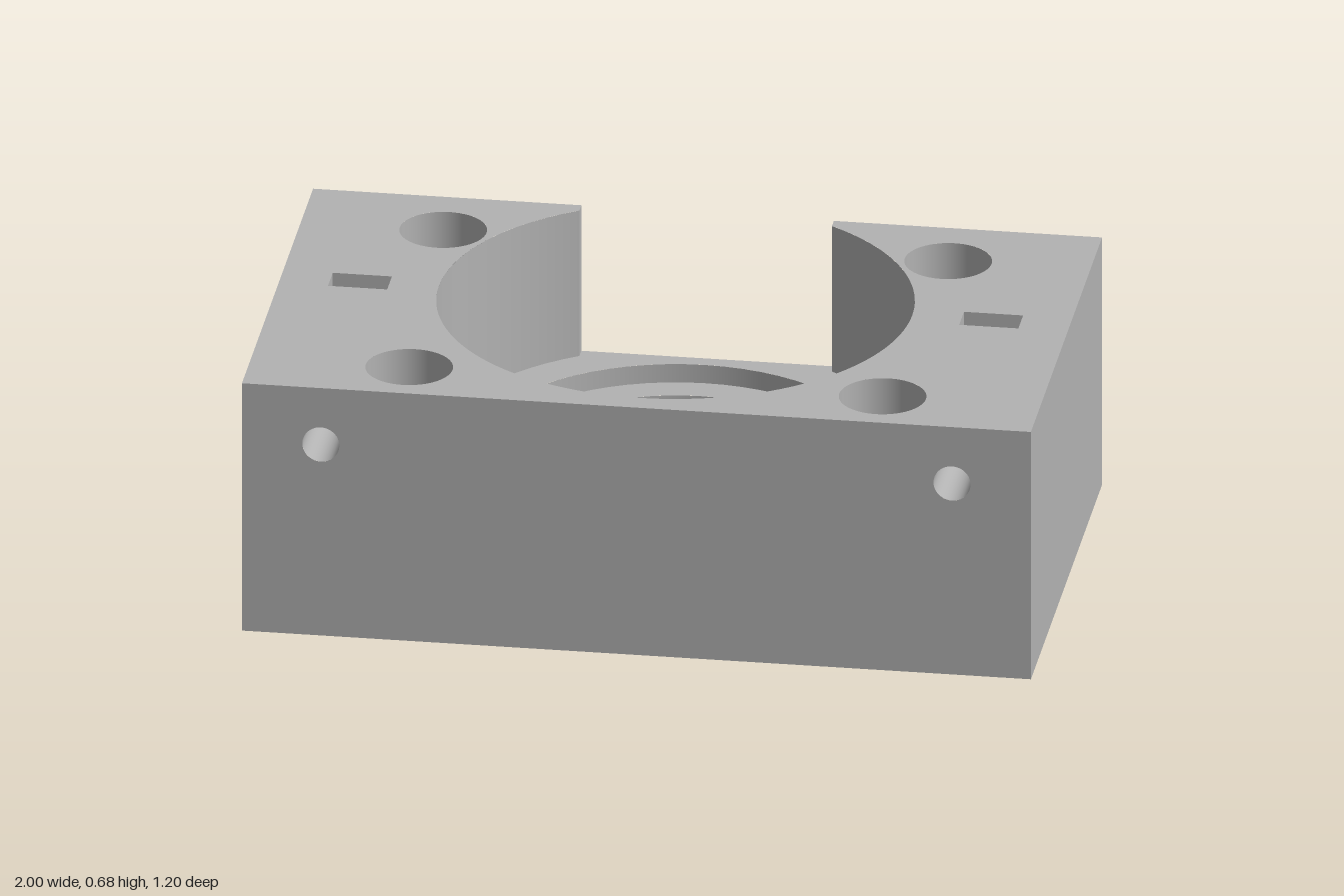
import * as THREE from 'three';

const W = 1, D = 0.6, H = 0.68;          // half width, half depth, height
const CZ = -0.06;                        // bore centre in z
const FLOOR = 0.28, STEP = 0.23, SEAT = 0.13; // stepped bore levels
const LIP = 0.32, R = 0.6;               // rear opening half width, pocket radius
const ARC = Math.acos(LIP / R);
const LIPZ = CZ - R * Math.sin(ARC);
const SEG = 64;

// Turn a surface to face the other way
function flip(geo) {
  const idx = geo.index.array, n = geo.attributes.normal.array;
  for (let i = 0; i < idx.length; i += 3) [idx[i], idx[i + 1]] = [idx[i + 1], idx[i]];
  for (let i = 0; i < n.length; i++) n[i] = -n[i];
  return geo;
}

const disc = (x, y, r, C = THREE.Path) => {
  const p = new C();
  p.absarc(x, y, r, 0, Math.PI * 2, false);
  return p;
};
const poly = (pts, C = THREE.Path) => new C(pts.map(([x, y]) => new THREE.Vector2(x, y)));
const rect = (x0, y0, x1, y1, C) => poly([[x0, y0], [x1, y0], [x1, y1], [x0, y1]], C);
const hex = (x, z, r, C) => poly([...Array(6).keys()].map((i) => {
  const a = Math.PI / 2 + i * Math.PI / 3;
  return [x + r * Math.cos(a), z + r * Math.sin(a)];
}), C);

export function createModel() {
  const group = new THREE.Group();
  const grey = new THREE.MeshStandardMaterial({ color: 0xb2b2b2 });
  grey.name = 'grey';

  const add = (name, geo) => {
    const m = new THREE.Mesh(geo, grey);
    m.name = name;
    group.add(m);
  };
  // Horizontal face from a shape drawn in (x, z)
  const level = (name, shape, holes, y, up = true) => {
    shape.holes.push(...holes);
    const g = new THREE.ShapeGeometry(shape, SEG).rotateX(Math.PI / 2).translate(0, y, 0);
    add(name, up ? flip(g) : g);
  };
  // Upright face from a shape drawn in (x, y)
  const upright = (name, shape, holes, z, back) => {
    shape.holes.push(...holes);
    const g = new THREE.ShapeGeometry(shape, SEG).translate(0, 0, z);
    add(name, back ? flip(g) : g);
  };
  // Inner wall of a vertical round hole
  const bore = (name, x, z, r, y0, y1, start = 0, len = Math.PI * 2) => add(name, flip(
    new THREE.CylinderGeometry(r, r, y1 - y0, SEG, 1, true, start, len).translate(x, (y0 + y1) / 2, z)));
  // Upright face across x, facing +x or -x
  const side = (name, x, y0, y1, z0, z1, dir) => add(name,
    new THREE.PlaneGeometry(z1 - z0, y1 - y0).rotateY(dir * Math.PI / 2)
      .translate(x, (y0 + y1) / 2, (z0 + z1) / 2));

  const bolts = [[0.64, -0.4], [-0.64, -0.4], [0.6, 0.44], [-0.6, 0.44]];
  const screws = [[0.35, CZ], [-0.35, CZ], [0, CZ + 0.35], [0, CZ - 0.35]];
  const SLOT = { x0: 0.725, x1: 0.875, z0: -0.1, z1: -0.02 };
  const slots = () => [rect(SLOT.x0, SLOT.z0, SLOT.x1, SLOT.z1), rect(-SLOT.x1, SLOT.z0, -SLOT.x0, SLOT.z1)];
  const PX = 0.8, PY = 0.525, PR = 0.047; // long cross holes
  const crossHoles = () => [disc(PX, PY, PR), disc(-PX, PY, PR)];

  // Top face, open at the rear where the pocket breaks through
  const top = new THREE.Shape();
  top.moveTo(W, -D).lineTo(W, D).lineTo(-W, D).lineTo(-W, -D).lineTo(-LIP, -D).lineTo(-LIP, LIPZ);
  top.absarc(0, CZ, R, Math.PI + ARC, -ARC, true);
  top.lineTo(LIP, -D);
  level('topFace', top, [...bolts.map(([x, z]) => disc(x, z, 0.11)), ...slots()], H);

  // Underside
  level('underside', rect(-W, -D, W, D, THREE.Shape), [
    disc(0, CZ, 0.27), ...screws.map(([x, z]) => disc(x, z, 0.045)),
    ...bolts.map(([x, z]) => hex(x, z, 0.088)), ...slots()], 0, false);

  // Outer walls
  upright('frontFace', rect(-W, 0, W, H, THREE.Shape), crossHoles(), D, false);
  upright('backFace', poly([[-W, 0], [W, 0], [W, H], [LIP, H], [LIP, FLOOR],
    [-LIP, FLOOR], [-LIP, H], [-W, H]], THREE.Shape), crossHoles(), -D, true);
  for (const s of [1, -1]) {
    side('endFace', s * W, 0, H, -D, D, s);
    side('openingLip', s * LIP, FLOOR, H, -D, LIPZ, -s);
  }

  // Stepped round pocket
  const sweep = Math.PI / 2 + ARC;
  bore('pocketWall', 0, CZ, R, FLOOR, H, -sweep, sweep * 2);
  const floor = new THREE.Shape();
  floor.moveTo(-LIP, -D).lineTo(LIP, -D).lineTo(LIP, LIPZ);
  floor.absarc(0, CZ, R, -ARC, Math.PI + ARC, false);
  level('pocketFloor', floor, [disc(0, CZ, 0.5)], FLOOR);
  bore('stepWall', 0, CZ, 0.5, STEP, FLOOR);
  level('stepFloor', disc(0, CZ, 0.5, THREE.Shape), [disc(0, CZ, 0.42)], STEP);
  bore('seatWall', 0, CZ, 0.42, SEAT, STEP);
  level('seatFloor', disc(0, CZ, 0.42, THREE.Shape),
    [disc(0, CZ, 0.27), ...screws.map(([x, z]) => disc(x, z, 0.068))], SEAT);
  bore('centreHole', 0, CZ, 0.27, 0, SEAT);

  // Counterbored screw holes around the centre
  for (const [x, z] of screws) {
    bore('screwCounterbore', x, z, 0.068, 0.06, SEAT);
    level('screwShoulder', disc(x, z, 0.068, THREE.Shape), [disc(x, z, 0.045)], 0.06);
    bore('screwHole', x, z, 0.045, 0, 0.06);
  }

  // Corner bolt holes: round counterbore above, hexagonal nut pocket below
  for (const [x, z] of bolts) {
    bore('boltCounterbore', x, z, 0.11, 0.45, H);
    level('boltShoulder', disc(x, z, 0.11, THREE.Shape), [disc(x, z, 0.047)], 0.45);
    bore('boltHole', x, z, 0.047, 0.15, 0.45);
    level('nutPocketRoof', hex(x, z, 0.088, THREE.Shape), [disc(x, z, 0.047)], 0.15, false);
    const nut = flip(new THREE.CylinderGeometry(0.088, 0.088, 0.15, 6, 1, true)).toNonIndexed();
    nut.computeVertexNormals();
    add('nutPocketWall', nut.translate(x, 0.075, z));
  }

  // Rectangular through slots, crossed by the long holes
  for (const s of [1, -1]) {
    const [a, b] = s > 0 ? [SLOT.x0, SLOT.x1] : [-SLOT.x1, -SLOT.x0];
    side('slotSide', a, 0, H, SLOT.z0, SLOT.z1, 1);
    side('slotSide', b, 0, H, SLOT.z0, SLOT.z1, -1);
    upright('slotRear', rect(a, 0, b, H, THREE.Shape), [disc(s * PX, PY, PR)], SLOT.z0, false);
    upright('slotFront', rect(a, 0, b, H, THREE.Shape), [disc(s * PX, PY, PR)], SLOT.z1, true);
    for (const [z0, z1] of [[-D, SLOT.z0], [SLOT.z1, D]]) {
      add('crossHole', flip(new THREE.CylinderGeometry(PR, PR, z1 - z0, 32, 1, true)
        .rotateX(Math.PI / 2).translate(s * PX, PY, (z0 + z1) / 2)));
    }
  }
  return group;
}
